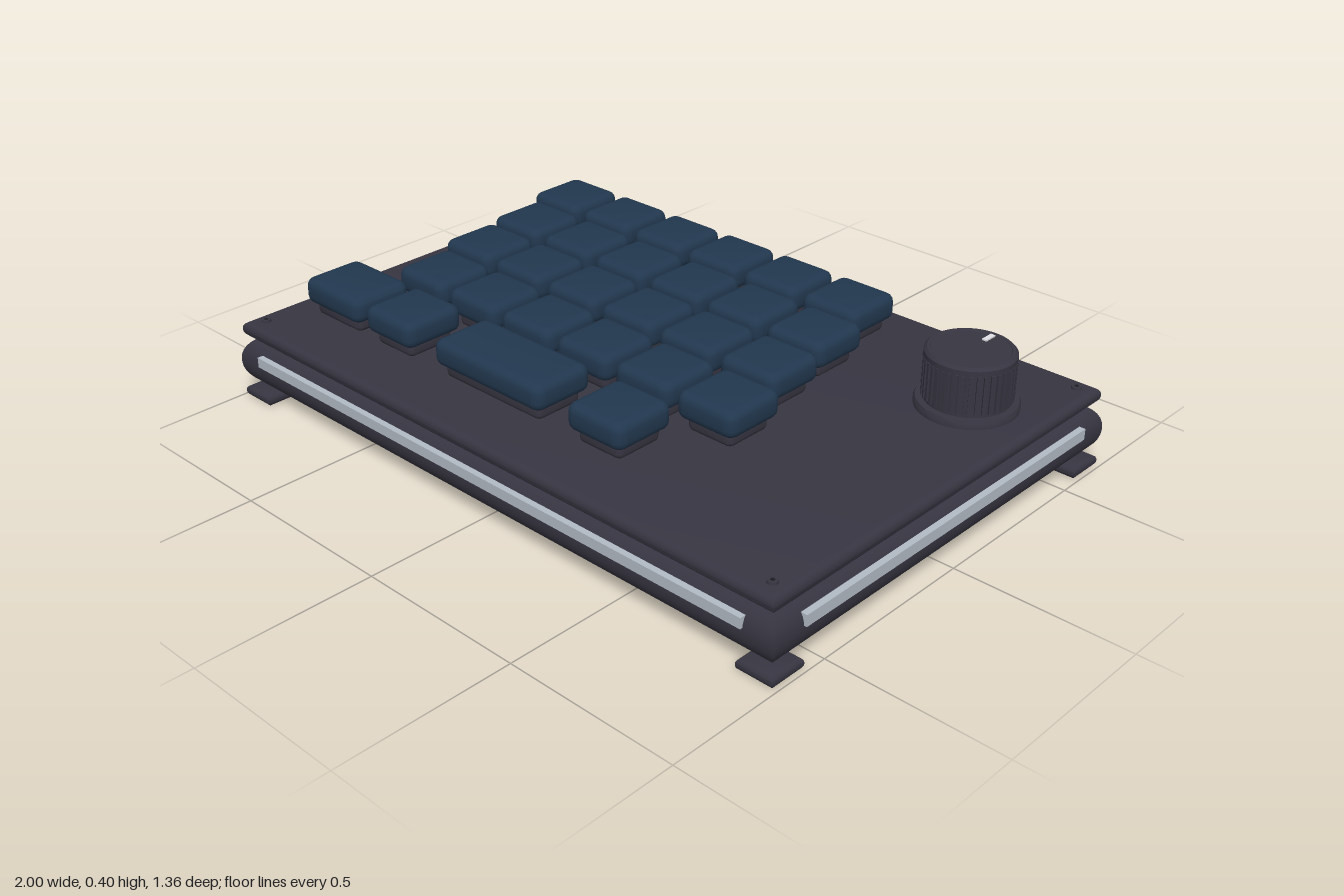
import * as THREE from 'three';
import { toCreasedNormals } from 'three/addons/utils/BufferGeometryUtils.js';

const mat = (name, color) => {
  const m = new THREE.MeshStandardMaterial({ color });
  m.name = name;
  return m;
};

// Slab lying flat, centred on x and z, resting on y = 0, with rounded edges all round
function slab(w, d, h, bevel, corner = 0) {
  const x = w / 2 - bevel, y = d / 2 - bevel, r = corner;
  const s = new THREE.Shape();
  if (r > 0) {
    s.absarc(x - r, y - r, r, 0, Math.PI / 2);
    s.absarc(-x + r, y - r, r, Math.PI / 2, Math.PI);
    s.absarc(-x + r, -y + r, r, Math.PI, Math.PI * 1.5);
    s.absarc(x - r, -y + r, r, Math.PI * 1.5, Math.PI * 2);
    s.closePath();
  } else {
    s.moveTo(-x, -y).lineTo(x, -y).lineTo(x, y).lineTo(-x, y).closePath();
  }
  const g = new THREE.ExtrudeGeometry(s, {
    depth: h - 2 * bevel, bevelThickness: bevel, bevelSize: bevel,
    bevelSegments: bevel > 0.04 ? 8 : 4, curveSegments: 4,
  });
  g.translate(0, 0, bevel).rotateX(-Math.PI / 2);
  return toCreasedNormals(g, 0.6);
}

export function createModel() {
  const charcoal = mat('charcoal', 0x373541);
  const navy = mat('navy', 0x22384f);
  const silver = mat('silver', 0xb2bbc5);
  const white = mat('white', 0xe0e0e6);
  const black = mat('black', 0x1e1d24);
  const model = new THREE.Group();
  model.name = 'keypad';

  const add = (parent, name, geometry, material, x = 0, y = 0, z = 0) => {
    const m = new THREE.Mesh(geometry, material);
    m.name = name;
    m.position.set(x, y, z);
    parent.add(m);
    return m;
  };

  // Case and top plate
  add(model, 'case', slab(1.986, 1.344, 0.156, 0.074), charcoal, 0, 0.035, 0);
  add(model, 'topPlate', slab(1.964, 1.328, 0.045, 0.02), charcoal, 0, 0.19, 0);

  // Feet and plate screws at the four corners
  const foot = slab(0.11, 0.11, 0.028, 0.012);
  const screw = new THREE.CylinderGeometry(0.013, 0.015, 0.012, 16);
  const socket = new THREE.CylinderGeometry(0.006, 0.006, 0.002, 6);
  for (const sx of [-1, 1]) for (const sz of [-1, 1]) {
    add(model, 'foot', foot, charcoal, sx * 0.935, 0.004, sz * 0.615).scale.y = 1.1;
    add(model, 'screw', screw, charcoal, sx * 0.935, 0.236, sz * 0.615);
    add(model, 'screwSocket', socket, black, sx * 0.935, 0.242, sz * 0.615);
  }
  model.children.filter((c) => c.name === 'foot').forEach((c) => { c.position.y = 0; });

  // Light strips on the front and both sides
  add(model, 'frontStrip', new THREE.BoxGeometry(1.8, 0.03, 0.03), silver, 0, 0.14, 0.664);
  add(model, 'leftStrip', new THREE.BoxGeometry(0.03, 0.032, 1.14), silver, 0.985, 0.14, 0);
  add(model, 'rightStrip', new THREE.BoxGeometry(0.03, 0.032, 0.66), silver, -0.985, 0.14, 0.24);

  // Cable port on the back
  const port = add(model, 'port', slab(0.12, 0.05, 0.03, 0.006, 0.012), charcoal, 0.75, 0.125, -0.65);
  port.rotation.x = -Math.PI / 2;
  add(model, 'portOpening', new THREE.BoxGeometry(0.08, 0.018, 0.003), black, 0.75, 0.125, -0.68);

  // Keys: cap over a smaller stem, in staggered rows
  const keys = new THREE.Group();
  keys.name = 'keys';
  model.add(keys);
  const D = 0.193, cache = {};
  const key = (x, z, w = D) => {
    cache[w] ??= [slab(w, D, 0.076, 0.024, 0.006), slab(w - 0.045, D - 0.045, 0.05, 0.014, 0.004)];
    add(keys, 'keyCap', cache[w][0], navy, x, 0.267, z);
    add(keys, 'keyStem', cache[w][1], charcoal, x, 0.232, z);
  };
  const rows = [[-0.807, -0.478], [-0.754, -0.262], [-0.727, -0.045], [-0.674, 0.174]];
  for (const [x, z] of rows) for (let i = 0; i < 6; i++) key(x + i * 0.2175, z);
  key(-0.783, 0.404, 0.24);
  key(-0.535, 0.404);
  key(-0.138, 0.404, 0.41);
  key(0.257, 0.404);

  // Dial: collar, turned body, grip ribs and pointer
  const dial = new THREE.Group();
  dial.name = 'dial';
  dial.position.set(0.775, 0, -0.345);
  model.add(dial);
  const lathe = (pts) => toCreasedNormals(
    new THREE.LatheGeometry(pts.map(([r, y]) => new THREE.Vector2(r, y)), 48).toNonIndexed(), 0.6);
  add(dial, 'dialCollar', lathe([[0.137, 0.23], [0.138, 0.25], [0.134, 0.257], [0, 0.257]]), charcoal);
  add(dial, 'dialBody', lathe([[0.115, 0.255], [0.115, 0.374], [0.12, 0.376], [0.12, 0.39],
    [0.112, 0.398], [0.104, 0.398], [0.102, 0.396], [0, 0.396]]), charcoal);
  const rib = new THREE.BoxGeometry(0.009, 0.108, 0.01);
  const RIBS = 40;
  for (let i = 0; i < RIBS; i++) {
    const a = (i / RIBS) * Math.PI * 2;
    add(dial, 'gripRib', rib, charcoal, Math.sin(a) * 0.1155, 0.32, Math.cos(a) * 0.1155).rotation.y = a;
  }
  add(dial, 'dialPointer', new THREE.BoxGeometry(0.014, 0.006, 0.04), white, 0, 0.397, -0.077);

  return model;
}
